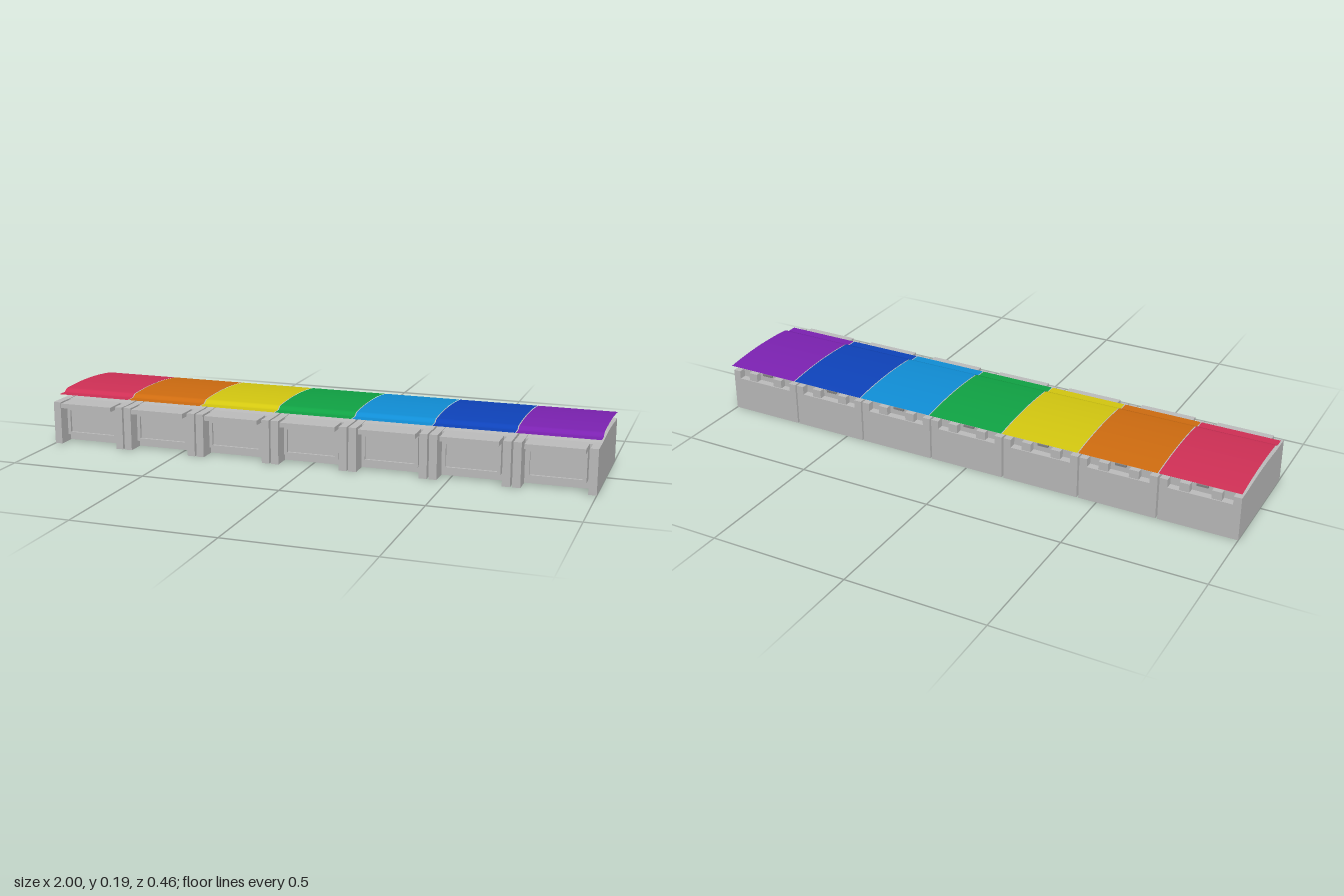
import * as THREE from 'three';

const UNITS = 7;
const PITCH = 0.2867;
const WIDTH = 0.28;

const mat = (name, color, side = THREE.FrontSide) => {
  const m = new THREE.MeshStandardMaterial({ color, side });
  m.name = name;
  return m;
};

// Gentle crown of the housing top, low at both ends
const crown = (z) => 0.157 + 0.006 * Math.max(0, 1 - ((z + 0.02) / 0.15) ** 2);

// Height of a floating cover: flat front lip, short step, long arc
function coverHeight(z) {
  const arc = 0.192 - 0.31 * (z + 0.01) ** 2;
  const t = THREE.MathUtils.smoothstep(0.132 - z, 0, 0.02);
  return THREE.MathUtils.lerp(0.176, arc, t);
}

// Extrudes a [z, y] outline along x, centred on x = 0
function slab(points, width) {
  const shape = new THREE.Shape(points.map(([z, y]) => new THREE.Vector2(-z, y)));
  const g = new THREE.ExtrudeGeometry(shape, { depth: width, bevelEnabled: false });
  return g.translate(0, 0, -width / 2).rotateY(Math.PI / 2);
}

// Closed outline with the crowned top, dropped by an offset
function crownedOutline(front, back, bottom, drop) {
  const pts = [[front, bottom]];
  for (let i = 0; i <= 20; i++) {
    const z = THREE.MathUtils.lerp(front, back, i / 20);
    pts.push([z, crown(z) - drop]);
  }
  pts.push([back, bottom]);
  return pts;
}

function coverGeometry() {
  const g = new THREE.PlaneGeometry(0.283, 0.4, 1, 60).rotateX(-Math.PI / 2).translate(0, 0, -0.03);
  const p = g.attributes.position;
  for (let i = 0; i < p.count; i++) p.setY(i, coverHeight(p.getZ(i)));
  g.computeVertexNormals();
  return g;
}

export function createModel() {
  const model = new THREE.Group();
  model.name = 'compartmentRow';
  const grey = mat('lightGrey', 0xbebebe);
  const dark = mat('darkGrey', 0x858585);
  const colours = [
    ['red', 0xd03056], ['orange', 0xcf6c10], ['yellow', 0xd4c810], ['green', 0x10a344],
    ['skyBlue', 0x108ed6], ['blue', 0x0e43bb], ['purple', 0x7c22b2],
  ].map(([n, c]) => mat(n, c, THREE.DoubleSide));

  const wallGeo = slab(crownedOutline(0.215, -0.195, 0, 0), 0.028);
  const coreGeo = slab(crownedOutline(0.15, -0.195, 0.001, 0.002), WIDTH - 0.056);
  const tabGeo = slab([[-0.135, 0.158], [-0.135, 0.166], [-0.15, 0.166], [-0.203, 0.158], [-0.203, 0.15]], 0.04);
  const coverGeo = coverGeometry();

  for (let i = 0; i < UNITS; i++) {
    const unit = new THREE.Group();
    unit.name = 'compartment' + (i + 1);
    unit.position.x = (i - (UNITS - 1) / 2) * PITCH;
    model.add(unit);

    const add = (name, geo, material, x = 0) => {
      const m = new THREE.Mesh(geo, material);
      m.name = name;
      m.position.x = x;
      unit.add(m);
    };
    const box = (name, x, y0, y1, z0, z1, w) => add(name,
      new THREE.BoxGeometry(w, y1 - y0, z1 - z0).translate(0, (y0 + y1) / 2, (z0 + z1) / 2), grey, x);

    // Housing
    add('core', coreGeo, grey);
    box('backPanel', 0, 0, 0.127, -0.222, -0.195, WIDTH);
    for (const s of [-1, 1]) {
      add('sideWall', wallGeo, grey, s * (WIDTH / 2 - 0.014));
      box('outerHingeBlock', s * 0.126, 0.127, 0.157, -0.222, -0.195, 0.028);
      box('innerHingeBlock', s * 0.055, 0.127, 0.157, -0.218, -0.195, 0.035);
      box('frontFrameSide', s * 0.095, 0.03, 0.14, 0.15, 0.187, 0.012);
    }

    // Framed front panel with overhanging lip
    box('frontPanel', 0, 0.03, 0.14, 0.15, 0.178, 0.2);
    box('frontFrameBottom', 0, 0.03, 0.04, 0.15, 0.187, 0.202);
    box('frontFrameTop', 0, 0.122, 0.14, 0.15, 0.187, 0.202);
    box('frontLip', 0, 0.14, 0.157, 0.15, 0.23, 0.202);

    // Rear clip and floating coloured cover
    add('rearClip', tabGeo, dark);
    add('cover', coverGeo, colours[i]);
  }
  return model;
}
